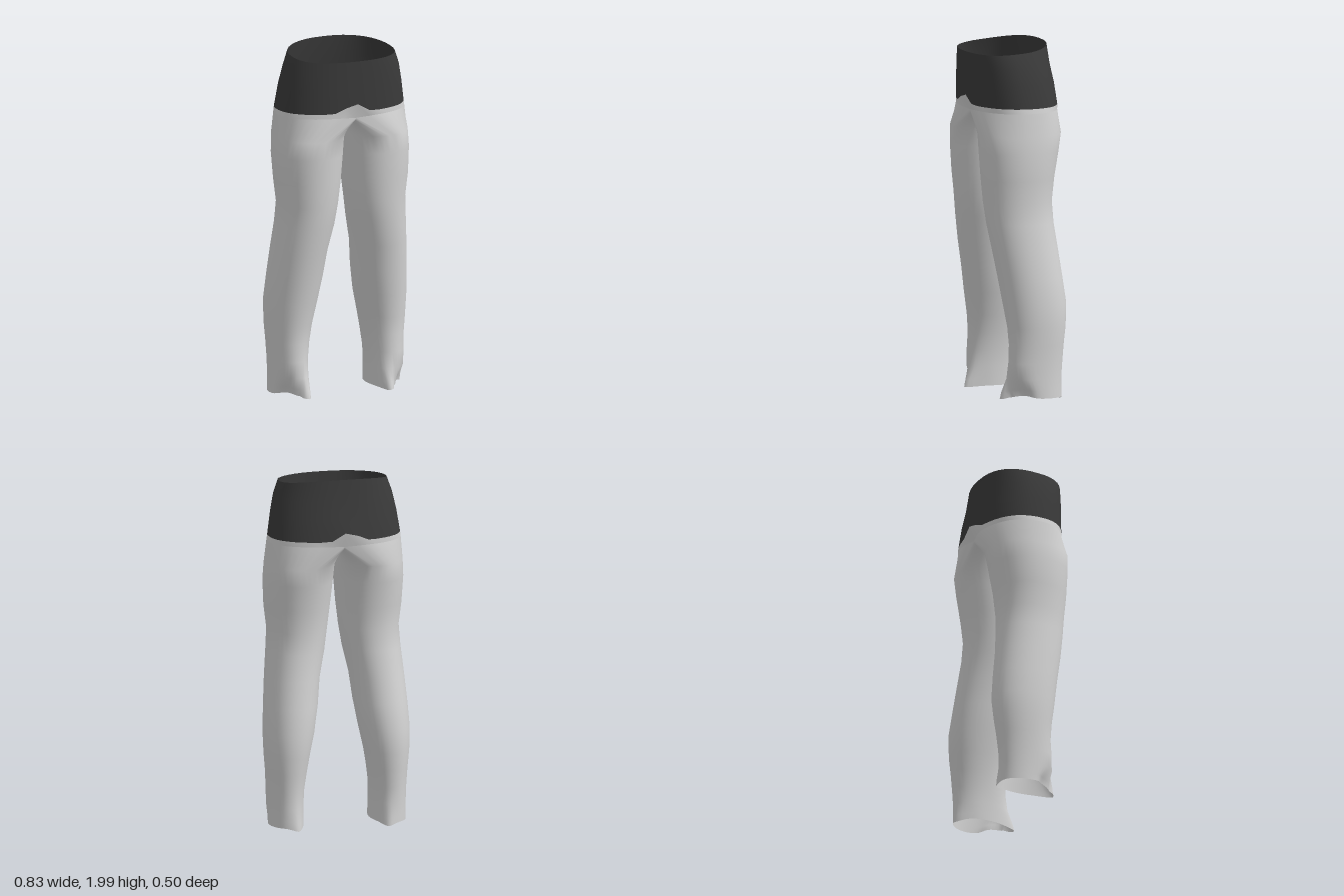
import * as THREE from 'three';

const light = new THREE.MeshStandardMaterial({ color: 0xd4d4d4, side: THREE.DoubleSide });
light.name = 'light grey cloth';
const dark = new THREE.MeshStandardMaterial({ color: 0x3a3a3a, side: THREE.DoubleSide });
dark.name = 'dark grey cloth';

const SIDES = 40; // points round every section, starting at the front and going to +x

const squash = (v, e) => Math.sign(v) * Math.abs(v) ** e;
const angleOf = (j) => (j / SIDES) * Math.PI * 2;
const bump = (v, centre, width) => Math.exp(-(((v - centre) / width) ** 2));

// Rounded section between x0..x1 and back..front
function section(x0, x1, front, back, a, e) {
  const sx = squash(Math.sin(a), e), sz = squash(Math.cos(a), e);
  return [(x0 + x1) / 2 + ((x1 - x0) / 2) * sx, (front + back) / 2 + ((front - back) / 2) * sz];
}

// Skin a list of closed rings running from top to bottom
function loft(rings, mirrored = false) {
  const pos = [], index = [];
  for (const ring of rings) for (const [x, y, z] of ring) pos.push(mirrored ? -x : x, y, z);
  for (let i = 0; i < rings.length - 1; i++) {
    for (let j = 0; j < SIDES; j++) {
      const k = (j + 1) % SIDES;
      const a = i * SIDES + j, b = a + SIDES, c = (i + 1) * SIDES + k, d = i * SIDES + k;
      if (mirrored) index.push(a, c, b, a, d, c);
      else index.push(a, b, c, a, c, d);
    }
  }
  const geo = new THREE.BufferGeometry();
  geo.setAttribute('position', new THREE.Float32BufferAttribute(pos, 3));
  geo.setIndex(index);
  geo.computeVertexNormals();
  return geo;
}

const makeRing = (fn) => Array.from({ length: SIDES }, (_, j) => fn(angleOf(j)));

// Lower edge of the hip band, arched up over the crotch, a little to the right
function bandEdge(a) {
  const [x, z] = section(-0.375, 0.375, 0.243, -0.254, a, 0.87);
  return [x, 1.657 + 0.055 * bump(x, -0.025, 0.06), z];
}

// Lower edge of the seat, hollowed slightly where the legs part
function seatEdge(a) {
  const [x, z] = section(-0.379, 0.379, 0.242, -0.252, a, 0.87);
  const hollow = bump(x, 0, 0.07);
  return [x, 1.63 - 0.01 * hollow, z * (1 - 0.1 * hollow)];
}

// Hip band sections: y, half width, front z, back z
const BAND = [
  [1.88, 0.335, 0.247, -0.215],
  [1.78, 0.356, 0.245, -0.236],
];

function bandRings() {
  const waist = makeRing((a) => {
    const [x, z] = section(-0.305, 0.305, 0.248, -0.2, a, 0.84);
    return [x, 1.95 + 0.048 * ((1 - Math.cos(a)) / 2) ** 2, z]; // higher at the back
  });
  const middle = BAND.map(([y, w, f, b]) => makeRing((a) => {
    const [x, z] = section(-w, w, f, b, a, 0.86);
    return [x, y, z];
  }));
  return [waist, ...middle, makeRing(bandEdge)];
}

// Leg sections: y, inner x, outer x, front z, back z
const LEG = [
  [1.5, 0.004, 0.39, 0.24, -0.235],
  [1.4, 0.012, 0.397, 0.236, -0.217],
  [1.25, 0.026, 0.39, 0.226, -0.19],
  [1.12, 0.042, 0.374, 0.214, -0.177],
  [1.0, 0.06, 0.382, 0.2, -0.182],
  [0.85, 0.093, 0.396, 0.176, -0.2],
  [0.7, 0.11, 0.408, 0.149, -0.22],
  [0.55, 0.136, 0.417, 0.126, -0.238],
  [0.42, 0.164, 0.413, 0.105, -0.231],
  [0.32, 0.181, 0.404, 0.098, -0.219],
  [0.22, 0.195, 0.398, 0.104, -0.21],
];

// Hem sections: y, amount of crumpling
const HEM = [[0.13, 0.15], [0.06, 0.8], [0.022, 1]];

function legRings() {
  // Outer half follows the seat, inner half is the crotch seam on x = 0
  const [, frontY, frontZ] = seatEdge(0);
  const [, , backZ] = seatEdge(Math.PI);
  const top = makeRing((a) => {
    if (a <= Math.PI + 1e-6) return seatEdge(a);
    const z = (frontZ + backZ) / 2 + ((frontZ - backZ) / 2) * Math.cos(a);
    return [0, frontY - 0.05 * Math.abs(Math.sin(a)), z];
  });
  const shaft = LEG.map(([y, x0, x1, f, b]) => makeRing((a) => {
    const [x, z] = section(x0, x1, f, b, a, 0.96);
    return [x, y, z];
  }));
  // Tucked under at the outer front, pointed at the inner corners
  const hem = HEM.map(([y, k]) => makeRing((a) => {
    const [x, z] = section(0.198, 0.395, 0.11, -0.203, a, 0.92);
    const tuck = k * bump(a, 0.7, 0.6);
    const point = k * bump(a, 5.75, 0.4);
    const heel = k * bump(a, 3.5, 0.4);
    return [
      x - 0.025 * tuck,
      y + 0.016 * tuck - 0.008 * point - 0.018 * heel,
      z - 0.045 * tuck + 0.05 * point - 0.02 * heel,
    ];
  }));
  return [top, ...shaft, ...hem];
}

export function createModel() {
  const trousers = new THREE.Group();
  trousers.name = 'trousers';
  const add = (name, geo, mat) => {
    const mesh = new THREE.Mesh(geo, mat);
    mesh.name = name;
    trousers.add(mesh);
  };
  add('hipBand', loft(bandRings()), dark);
  add('seat', loft([makeRing(bandEdge), makeRing(seatEdge)]), light);
  const rings = legRings();
  add('leftLeg', loft(rings), light);
  add('rightLeg', loft(rings, true), light);
  return trousers;
}
